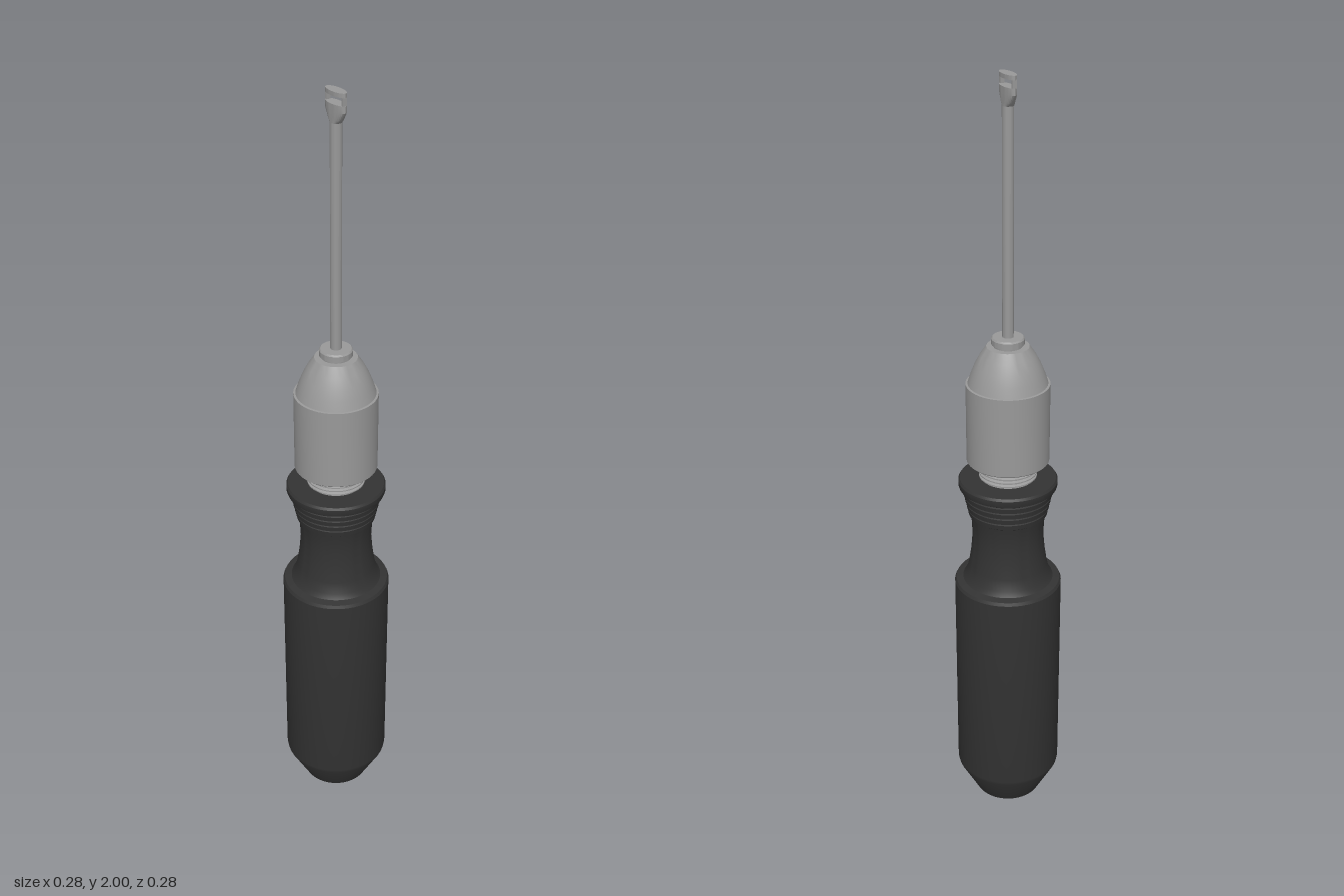
import * as THREE from 'three';
import { toCreasedNormals } from 'three/addons/utils/BufferGeometryUtils.js';

const mat = (name, color) => new THREE.MeshStandardMaterial({ name, color });

// Turned part from [radius, height] pairs, bottom to top
function turned(points, segments = 48) {
  return new THREE.LatheGeometry(points.map(([r, y]) => new THREE.Vector2(r, y)), segments);
}

// Squash a turned part to an ellipse with a fixed half depth
function flatten(geometry, halfDepth) {
  const p = geometry.attributes.position;
  for (let i = 0; i < p.count; i++) {
    const r = Math.hypot(p.getX(i), p.getZ(i));
    if (r > 1e-5) p.setZ(i, (p.getZ(i) / r) * halfDepth);
  }
  return geometry;
}

export function createModel() {
  const group = new THREE.Group();
  group.name = 'handTool';
  const rubber = mat('blackRubber', 0x333333);
  const steel = mat('steel', 0x999999);

  const add = (name, geometry, material, crease = 0.45) => {
    const mesh = new THREE.Mesh(toCreasedNormals(geometry, crease), material);
    mesh.name = name;
    group.add(mesh);
    return mesh;
  };

  // Grip with tapered butt, waisted neck and stepped rings under the flange
  const grip = [
    [0, 0], [0.09, 0], [0.138, 0.09], [0.14, 0.1], [0.14, 0.68], [0.136, 0.688],
    [0.118, 0.692], [0.109, 0.705], [0.102, 0.735], [0.096, 0.775], [0.092, 0.82],
    [0.094, 0.86], [0.098, 0.882],
  ];
  for (let i = 0; i < 4; i++) {
    const y = 0.885 + i * 0.018, r = 0.102 + i * 0.004;
    grip.push([r, y], [r + 0.002, y + 0.013], [r - 0.002, y + 0.015]);
  }
  grip.push([0.116, 0.957], [0.125, 0.962], [0.127, 0.968], [0.127, 0.98], [0.123, 0.986], [0, 0.986]);
  add('grip', turned(grip, 64), rubber);

  // Threaded collar between grip and chuck
  const thread = [[0.07, 0.98]];
  for (let i = 0; i < 5; i++) {
    const y = 0.988 + i * 0.01;
    thread.push([0.068, y], [0.074, y + 0.003], [0.074, y + 0.006], [0.068, y + 0.009]);
  }
  add('threadedCollar', turned(thread), steel);

  // Chuck: straight sleeve with a rounded nose
  add('chuckSleeve', turned([
    [0, 1.035], [0.102, 1.035], [0.105, 1.038], [0.105, 1.247], [0.1, 1.248], [0, 1.248],
  ]), steel);
  add('chuckNose', turned([
    [0.1, 1.247], [0.092, 1.272], [0.082, 1.297], [0.069, 1.322], [0.053, 1.346], [0, 1.346],
  ]), steel);
  add('noseRing', turned([
    [0.036, 1.345], [0.036, 1.35], [0.041, 1.352], [0.041, 1.366], [0.038, 1.37], [0, 1.37],
  ]), steel);

  // Shaft
  add('shaft', turned([[0.014, 1.36], [0.014, 1.93]], 24), steel);

  // Flared flat tip, with an eye between two side posts and a top bar
  add('tipFlare', flatten(turned([
    [0.014, 1.928], [0.022, 1.936], [0.035, 1.956], [0.035, 1.972], [0, 1.972],
  ], 32), 0.014), steel);
  for (const side of [-1, 1]) {
    const post = new THREE.BoxGeometry(0.006, 0.022, 0.011);
    post.translate(side * 0.03, 1.981, 0);
    add(side > 0 ? 'leftPost' : 'rightPost', post, steel);
  }
  add('tipBar', flatten(turned([
    [0, 1.99], [0.035, 1.99], [0.035, 2], [0, 2],
  ], 32), 0.014), steel);

  return group;
}
